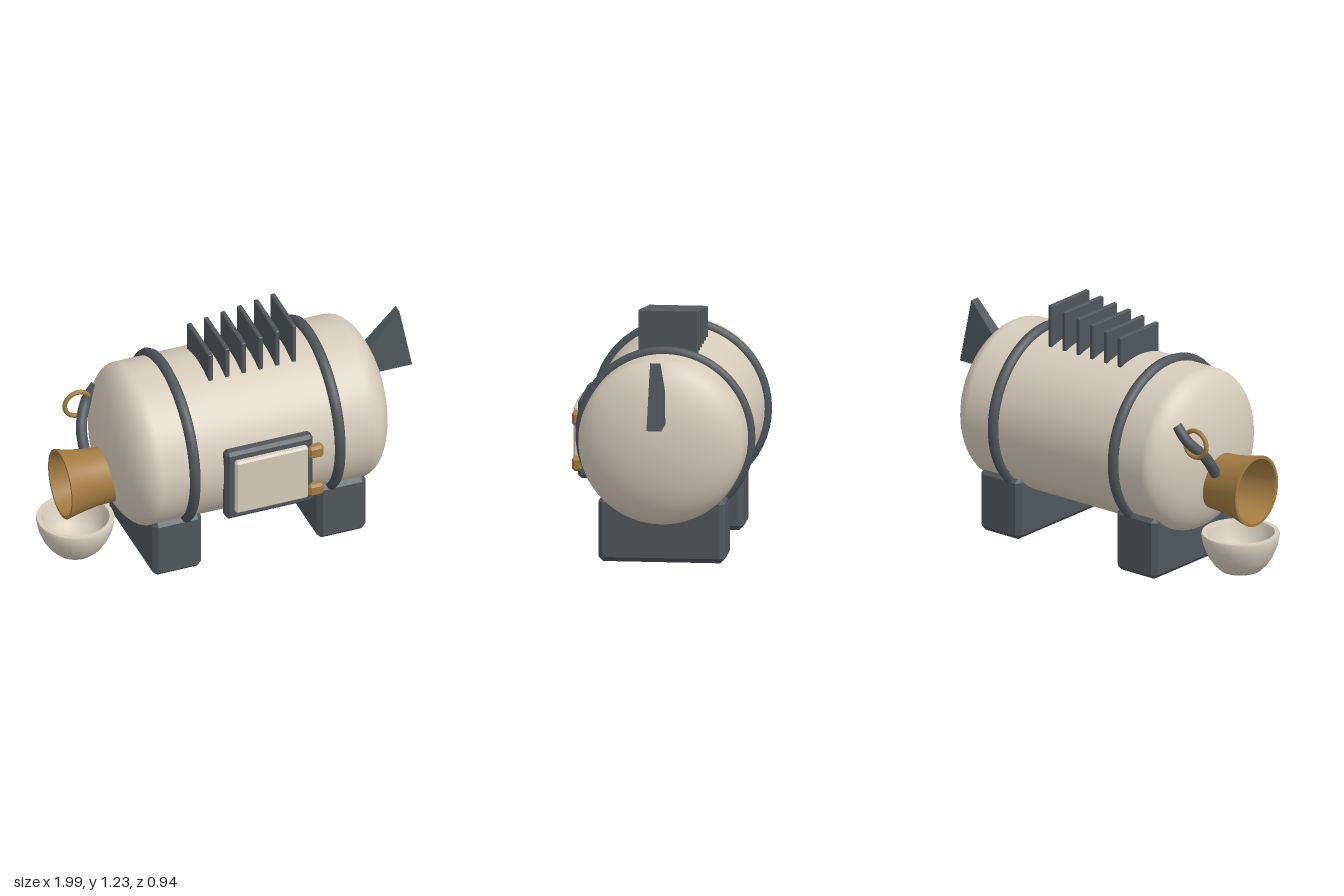
import * as THREE from 'three';
import { toCreasedNormals } from 'three/addons/utils/BufferGeometryUtils.js';
import { ConvexGeometry } from 'three/addons/geometries/ConvexGeometry.js';

const AXIS_Y = 0.617, AXIS_Z = -0.016, RADIUS = 0.42;

// Box with flat chamfers, given by its min and max corners
function chamferBox(min, max, c) {
  const s = max.map((v, i) => (v - min[i]) / 2);
  const pts = [];
  for (const x of [-1, 1]) for (const y of [-1, 1]) for (const z of [-1, 1]) {
    for (let a = 0; a < 3; a++) {
      const d = [0, 1, 2].map(i => s[i] - (i === a ? 0 : c));
      pts.push(new THREE.Vector3(x * d[0], y * d[1], z * d[2]));
    }
  }
  return new ConvexGeometry(pts).translate(...min.map((v, i) => v + s[i]));
}

function lathe(points, segments = 48) {
  return new THREE.LatheGeometry(points.map(p => new THREE.Vector2(...p)), segments);
}

export function createModel() {
  const model = new THREE.Group();
  const mat = (name, color) => {
    const m = new THREE.MeshStandardMaterial({ color });
    m.name = name;
    return m;
  };
  const cream = mat('cream enamel', 0xd6cdbc);
  const iron = mat('dark iron', 0x50565a);
  const brass = mat('brass', 0xa37c42);
  const add = (name, geometry, material, x = 0, y = 0, z = 0) => {
    const mesh = new THREE.Mesh(geometry, material);
    mesh.name = name;
    mesh.position.set(x, y, z);
    model.add(mesh);
    return mesh;
  };

  // Barrel body with domed ends, turned along x
  const profile = [];
  const N = 14;
  for (let i = 0; i <= N; i++) {
    const t = (i / N) * Math.PI / 2;
    profile.push([RADIUS * Math.sin(t), -0.495 - 0.175 * Math.cos(t)]);
  }
  for (let i = 0; i <= N; i++) {
    const t = (i / N) * Math.PI / 2;
    profile.push([RADIUS * Math.cos(t), 0.635 + 0.18 * Math.sin(t)]);
  }
  profile[0][0] = profile[profile.length - 1][0] = 0;
  add('body', lathe(profile, 64).rotateZ(-Math.PI / 2), cream, 0, AXIS_Y, AXIS_Z);

  // Straps round the barrel
  for (const x of [-0.322, 0.458]) {
    const strap = new THREE.TorusGeometry(0.425, 0.029, 8, 56).rotateY(Math.PI / 2);
    add('strap', strap, iron, x, AXIS_Y, AXIS_Z);
  }

  // Chamfered feet
  for (const x of [-0.372, 0.512]) {
    add('foot', chamferBox([x - 0.131, 0, -0.335], [x + 0.131, 0.328, 0.305], 0.025), iron);
  }

  // Cooling fins, rising towards the back
  for (let i = 0; i < 6; i++) {
    const x = -0.131 + i * 0.0898;
    add('fin', chamferBox([x - 0.012, 0.96, -0.166], [x + 0.012, 1.166 + i * 0.0128, 0.134], 0.004), iron);
  }

  // Hatch: frame, panel and hinges
  add('hatchFrame', chamferBox([-0.165, 0.358, 0.375], [0.303, 0.762, 0.442], 0.016), iron);
  add('hatchPanel', chamferBox([-0.125, 0.405, 0.42], [0.265, 0.719, 0.47], 0.01), cream);
  for (const y of [0.437, 0.669]) {
    add('hinge', chamferBox([0.27, y - 0.034, 0.415], [0.35, y + 0.034, 0.468], 0.012), brass);
  }

  // Tail plate, thinning towards its tip
  const tailShape = new THREE.Shape([[0.7, 0.74], [0.996, 0.74], [0.932, 1.075], [0.7, 0.83]]
    .map(p => new THREE.Vector2(...p)));
  const tail = new THREE.ExtrudeGeometry(tailShape, { depth: 1, bevelEnabled: false }).translate(0, 0, -0.5);
  const tp = tail.attributes.position;
  for (let i = 0; i < tp.count; i++) {
    const t = (tp.getY(i) - 0.74) / 0.335;
    tp.setZ(i, tp.getZ(i) * (0.075 - 0.023 * t));
  }
  tail.computeVertexNormals();
  add('tail', tail, iron, 0, 0, -0.016);

  // Hollow flared snout, slightly taller than wide
  const snout = lathe([[0, -0.64], [0.118, -0.64], [0.124, -0.72], [0.135, -0.8], [0.154, -0.888],
    [0.169, -0.888], [0.15, -0.8], [0.138, -0.72], [0.133, -0.6]], 40);
  snout.scale(1.1, 1, 1).rotateZ(-Math.PI / 2);
  add('snout', toCreasedNormals(snout, 0.6), brass, 0, 0.477, 0);

  // Bowl below the snout
  const bowl = lathe([[0, 0.05], [0.105, 0.05], [0.135, 0.08], [0.165, 0.125], [0.187, 0.18], [0.198, 0.235],
    [0.194, 0.246], [0.172, 0.246], [0.164, 0.225], [0.15, 0.17], [0.115, 0.115], [0.06, 0.09], [0, 0.085]], 40);
  add('bowl', toCreasedNormals(bowl, 0.9), cream, -0.8, 0, -0.02);

  // Bent pipe from the dome to the snout, with a ring handle
  const pipe = new THREE.CatmullRomCurve3([[-0.59, 0.835, -0.27], [-0.65, 0.76, -0.255],
    [-0.705, 0.665, -0.18], [-0.715, 0.56, -0.11]].map(p => new THREE.Vector3(...p)));
  add('pipe', new THREE.TubeGeometry(pipe, 20, 0.028, 12), iron);
  add('ring', new THREE.TorusGeometry(0.07, 0.012, 10, 32), brass, -0.697, 0.757, -0.25);

  return model;
}
